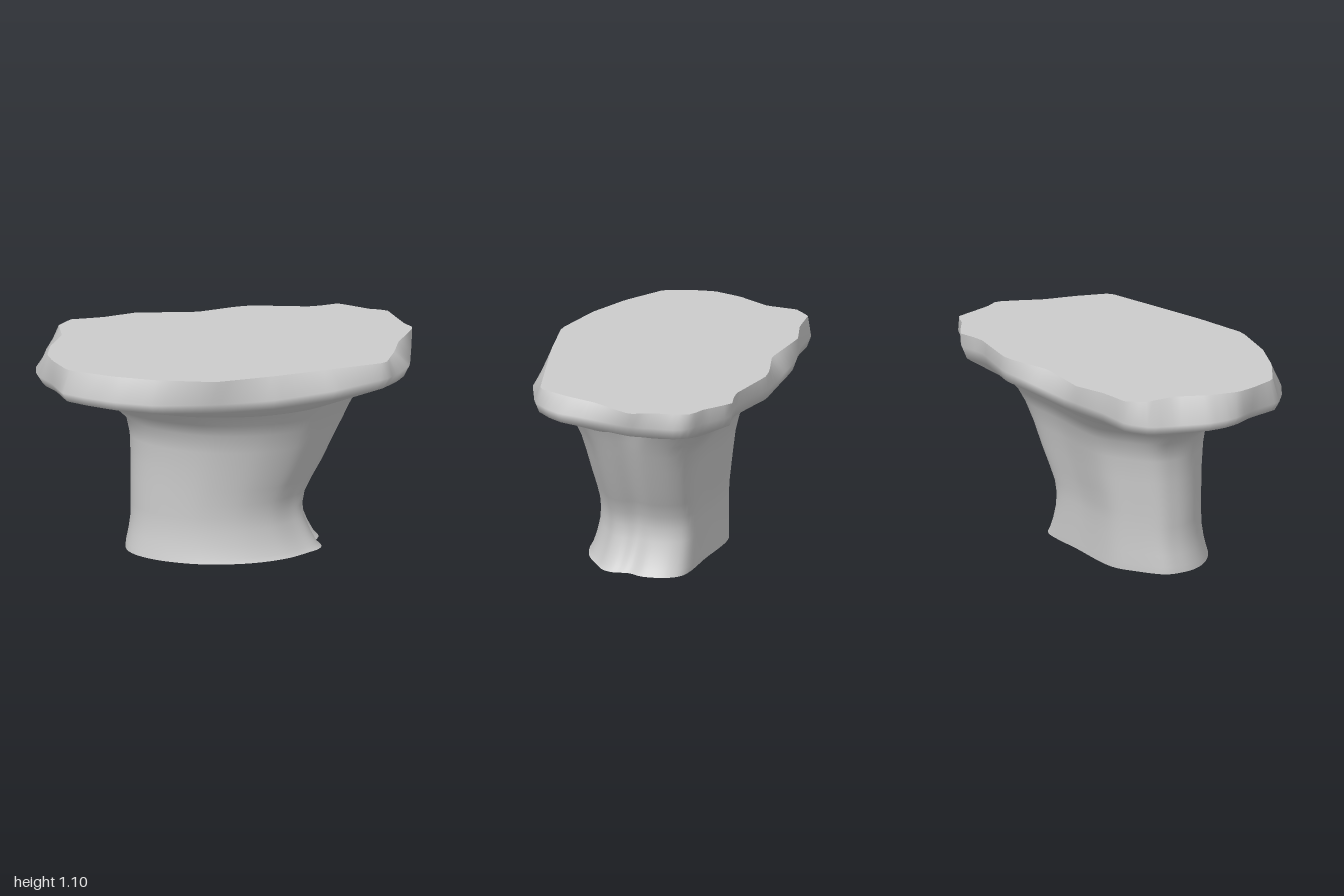
import * as THREE from 'three';

const N = 128;     // points per ring
const DEPTH = 0.64; // slab half depth, used to keep rings aligned without twist

// Stem cross-section in -1..1: rounded front, flat back, chamfered back right, shallow groove on the left end
const stemSection = new THREE.CatmullRomCurve3([
  [0.955, -0.1], [0.995, 0.14], [0.96, 0.34], [0.84, 0.52], [0.58, 0.82], [0.2, 0.99], [-0.25, 0.95],
  [-0.62, 0.71], [-0.86, 0.4], [-0.97, 0.12], [-1, -0.15], [-0.96, -0.45], [-0.72, -0.76], [-0.46, -0.98],
  [0.2, -0.99], [0.78, -0.97], [0.92, -0.8], [1, -0.38],
].map(([x, z]) => new THREE.Vector3(x, 0, z)), true).getPoints(180).slice(0, -1).map((p) => [p.x, p.z]);

// Slab outlines (x, z): the flat top edge and the wider rim just below
const topOutline = [
  [-0.95, 0.1], [-0.93, 0.2], [-0.87, 0.36], [-0.65, 0.49], [-0.42, 0.58], [-0.12, 0.64], [0.2, 0.57],
  [0.8, 0.4], [0.86, 0.22], [0.9, 0.05], [0.96, -0.08], [1, -0.18], [0.96, -0.25], [0.93, -0.35],
  [0.89, -0.49], [0.82, -0.5], [0.65, -0.62], [0.51, -0.58], [0.2, -0.63], [0.12, -0.62], [-0.1, -0.55],
  [-0.42, -0.57], [-0.6, -0.51], [-0.77, -0.49], [-0.84, -0.4], [-0.84, -0.23], [-0.92, -0.05],
];
const rimOutline = [
  [-1, 0], [-0.99, 0.08], [-0.94, 0.2], [-0.9, 0.38], [-0.8, 0.46], [-0.65, 0.55], [-0.44, 0.62],
  [-0.12, 0.635], [0.2, 0.62], [0.52, 0.55], [0.8, 0.43], [0.89, 0.33], [0.94, 0.24], [0.97, 0],
  [0.99, -0.17], [0.96, -0.3], [0.94, -0.42], [0.89, -0.49], [0.82, -0.5], [0.65, -0.615], [0.51, -0.577],
  [0.18, -0.645], [-0.2, -0.61], [-0.35, -0.59], [-0.6, -0.52], [-0.8, -0.5], [-0.9, -0.41],
  [-0.94, -0.25], [-0.99, -0.1],
];

// Where a ray from the centre at angle a leaves a closed outline
function rayHit(outline, a) {
  const c = Math.cos(a), s = Math.sin(a);
  let r = 0;
  outline.forEach(([x0, z0], i) => {
    const [x1, z1] = outline[(i + 1) % outline.length];
    const d0 = c * z0 - s * x0, d1 = c * z1 - s * x1;
    if (d0 * d1 > 0 || d0 === d1) return;
    const t = d0 / (d0 - d1);
    r = Math.max(r, c * (x0 + (x1 - x0) * t) + s * (z0 + (z1 - z0) * t));
  });
  return [c * r, s * r];
}

function makeRing(outline, place) {
  return Array.from({ length: N }, (_, i) => {
    const a = (i / N) * Math.PI * 2 + 1e-4;
    return place(...rayHit(outline, a), a);
  });
}

// Stem ring stretched to the given bounds, with a slightly tilted foot
const stemRing = ([y, x0, x1, z0, z1]) => makeRing(stemSection, (u, w) => {
  const x = (x0 + x1) / 2 + (u * (x1 - x0)) / 2;
  const z = (z0 + z1) / 2 + (w * (z1 - z0)) / 2;
  return [x, y === 0 ? 0.009 + 0.01 * x + 0.012 * z : y, z];
});

// Slab ring scaled from an outline, its height given by angle
const slabRing = (outline, scale, height) => makeRing(
  outline.map(([x, z]) => [x, z / DEPTH]),
  (u, w, a) => [u * scale, height(a), w * scale * DEPTH],
);

function build(points, index) {
  const g = new THREE.BufferGeometry();
  g.setAttribute('position', new THREE.Float32BufferAttribute(points.flat(), 3));
  g.setIndex(index);
  g.computeVertexNormals();
  return g;
}

// Smooth skin over rings ordered from bottom to top
function loft(rings) {
  const index = [];
  for (let j = 0; j < rings.length - 1; j++) {
    for (let i = 0; i < N; i++) {
      const a = j * N + i, b = j * N + ((i + 1) % N);
      index.push(a, a + N, b, b, a + N, b + N);
    }
  }
  return build(rings.flat(), index);
}

// Fan closing one ring
function cap(ring, up) {
  const centre = [0, 1, 2].map((k) => ring.reduce((sum, p) => sum + p[k], 0) / N);
  const index = [];
  for (let i = 0; i < N; i++) {
    const n = (i + 1) % N;
    index.push(N, up ? n : i, up ? i : n);
  }
  return build([...ring, centre], index);
}

export function createModel() {
  const group = new THREE.Group();
  group.name = 'pedestalTable';
  const material = new THREE.MeshStandardMaterial({ color: 0xcccccc });
  const add = (name, geometry) => {
    const mesh = new THREE.Mesh(geometry, material);
    mesh.name = name;
    group.add(mesh);
  };

  // Stem: height, then right/left and back/front bounds
  const stem = [
    [0, -0.53, 0.49, -0.252, 0.387],
    [0.04, -0.525, 0.465, -0.252, 0.375],
    [0.1, -0.512, 0.432, -0.25, 0.358],
    [0.18, -0.5, 0.4, -0.25, 0.344],
    [0.25, -0.5, 0.392, -0.25, 0.341],
    [0.32, -0.5, 0.405, -0.255, 0.344],
    [0.4, -0.5, 0.445, -0.268, 0.352],
    [0.5, -0.5, 0.5, -0.285, 0.366],
    [0.62, -0.504, 0.555, -0.305, 0.385],
    [0.72, -0.525, 0.605, -0.33, 0.405],
    [0.79, -0.6, 0.635, -0.365, 0.445],
    [0.855, -0.72, 0.67, -0.425, 0.495],
  ].map(stemRing);

  // Slab: flared underside, worn rim that climbs towards the back left, and flat top
  const neck = stem[stem.length - 1];
  const rimHeight = (y, rise) => (a) => y + rise * Math.cos(a + 0.5) + 0.01 * Math.sin(3 * a);
  const slab = [
    neck,
    slabRing(rimOutline, 0.97, rimHeight(0.945, 0.024)),
    slabRing(rimOutline, 1, rimHeight(1, 0.03)),
    slabRing(topOutline, 1, () => 1.1),
  ];

  add('stem', loft(stem));
  add('base', cap(stem[0], false));
  add('slabEdge', loft(slab));
  add('tableTop', cap(slab[3], true));
  return group;
}
